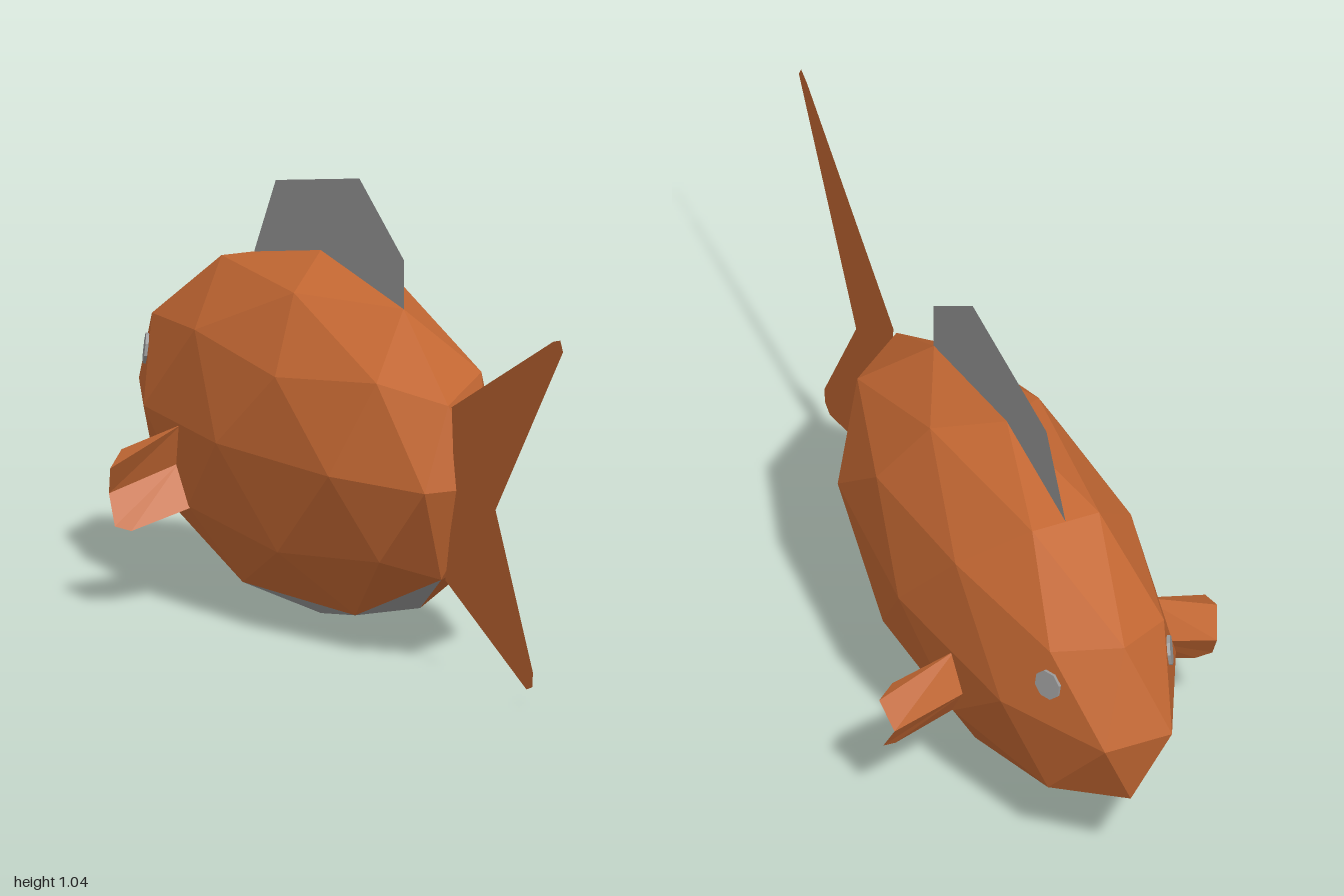
import * as THREE from 'three';

const orange = new THREE.MeshStandardMaterial({ color: 0xc46833, side: THREE.DoubleSide, flatShading: true });
orange.name = 'orange scales';
const grey = new THREE.MeshStandardMaterial({ color: 0x999999, side: THREE.DoubleSide, flatShading: true });
grey.name = 'grey fin and belly';

const LENGTH = 0.75, HEIGHT = 0.42, WIDTH = 0.27;

function addMesh(parent, name, geometry, material) {
  const mesh = new THREE.Mesh(geometry, material);
  mesh.name = name;
  parent.add(mesh);
  return mesh;
}

function fromTriangles(points) {
  const geometry = new THREE.BufferGeometry();
  geometry.setAttribute('position', new THREE.Float32BufferAttribute(points, 3));
  geometry.computeVertexNormals();
  return geometry;
}

// Flat sheet from an outline in the xy plane
const sheet = (outline) =>
  new THREE.ShapeGeometry(new THREE.Shape(outline.map(([x, y]) => new THREE.Vector2(x, y))));

// Faceted ellipsoid, split into flanks and belly, with the tail end nudged sideways
function buildBody(fish) {
  const sphere = new THREE.IcosahedronGeometry(1, 1);
  sphere.rotateZ(-Math.atan(2 / (1 + Math.sqrt(5))));
  const p = sphere.attributes.position;
  const flanks = [], belly = [];
  const v = new THREE.Vector3(), mid = new THREE.Vector3();
  for (let i = 0; i < p.count; i += 3) {
    mid.set(0, 0, 0);
    for (let k = 0; k < 3; k++) mid.add(v.fromBufferAttribute(p, i + k));
    mid.divideScalar(3);
    const side = Math.abs(mid.z);
    const isBelly = (mid.y < -0.73 && side < 0.4) || (mid.y < -0.59 && side < 0.22);
    for (let k = 0; k < 3; k++) {
      v.fromBufferAttribute(p, i + k);
      const bend = v.x > 0.8 ? 0.034 : 0;
      (isBelly ? belly : flanks).push(v.x * LENGTH, v.y * HEIGHT + HEIGHT, v.z * WIDTH + bend);
    }
  }
  addMesh(fish, 'body', fromTriangles(flanks), orange);
  addMesh(fish, 'belly', fromTriangles(belly), grey);
}

// Side fin: two thin panels meeting in a fold that points forward
function buildSideFin(fish, name, s) {
  const upper = [[-0.227, 0.418, 0.235], [-0.227, 0.376, 0.39], [-0.224, 0.335, 0.421],
    [-0.265, 0.268, 0.402], [-0.262, 0.32, 0.225]];
  const lower = [[-0.262, 0.32, 0.225], [-0.265, 0.268, 0.402], [-0.222, 0.2, 0.41],
    [-0.21, 0.188, 0.374], [-0.2, 0.232, 0.215]];
  const points = [];
  for (const panel of [upper, lower]) {
    for (let i = 1; i < panel.length - 1; i++) {
      for (const [x, y, z] of [panel[0], panel[i], panel[i + 1]]) points.push(x, y, z * s);
    }
  }
  addMesh(fish, name, fromTriangles(points), orange);
}

// Eye: small thin disc lying on a cheek facet
function buildEye(fish, name, s) {
  const eye = addMesh(fish, name, new THREE.CylinderGeometry(0.036, 0.036, 0.008, 8), grey);
  const normal = new THREE.Vector3(-0.44, 0.115, 0.89 * s).normalize();
  eye.quaternion.setFromUnitVectors(new THREE.Vector3(0, 1, 0), normal);
  eye.position.set(-0.552, 0.525, 0.15 * s).addScaledVector(normal, 0.002);
}

export function createModel() {
  const model = new THREE.Group();
  model.name = 'fish';

  const fish = new THREE.Group();
  fish.name = 'bodyGroup';
  fish.position.set(-0.288, 0, 0.042);
  fish.rotation.y = -0.218;
  model.add(fish);

  buildBody(fish);
  for (const [side, s] of [['left', 1], ['right', -1]]) {
    buildSideFin(fish, side + 'SideFin', s);
    buildEye(fish, side + 'Eye', s);
  }

  // Back fin
  addMesh(fish, 'backFin', sheet([[-0.318, 0.778], [-0.215, 0.962], [0.184, 1.04],
    [0.397, 0.89], [0.397, 0.775], [0, 0.8]]), grey);

  // Forked tail, swung a little further than the body
  const tail = addMesh(model, 'tail', sheet([[0, 0.608], [0.565, 0.876], [0.603, 0.886], [0.618, 0.862],
    [0.243, 0.42], [0.451, 0.086], [0.447, 0.052], [0.415, 0.04], [-0.035, 0.2], [0.015, 0.42]]), orange);
  tail.position.set(0.375, 0, 0.223);
  tail.rotation.y = -0.314;
  tail.scale.x = 1.0515;

  return model;
}
